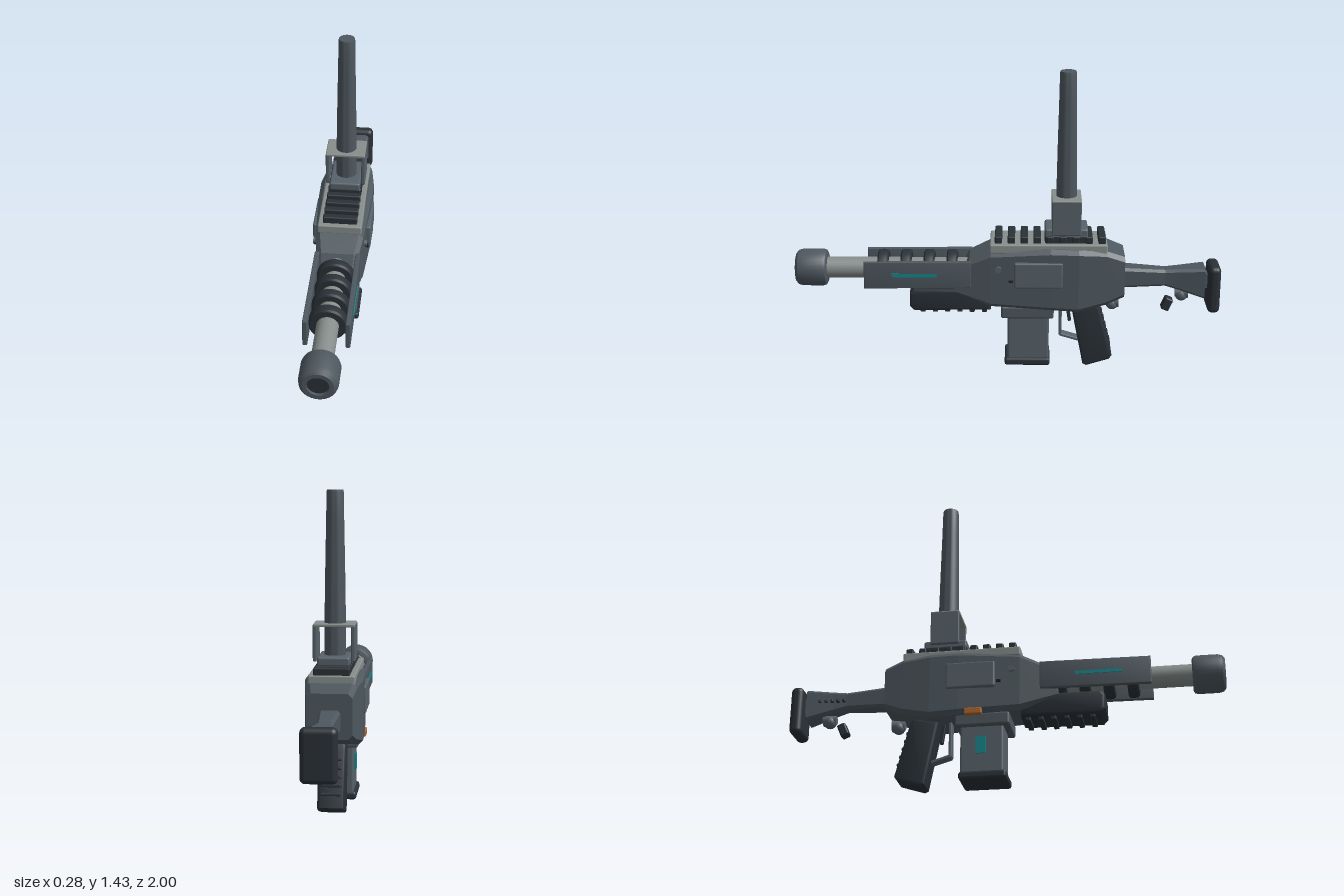
import * as THREE from 'three';
import { RoundedBoxGeometry } from 'three/addons/geometries/RoundedBoxGeometry.js';
import { toCreasedNormals } from 'three/addons/utils/BufferGeometryUtils.js';

const mat = (name, color) => {
  const m = new THREE.MeshStandardMaterial({ color });
  m.name = name;
  return m;
};

// Solid lofted along z from chamfered rectangles: [z, halfWidth, yBottom, yTop], front to back
function loft(sections, c) {
  const pos = [];
  const rings = sections.map(([z, w, b, t]) => [
    [-w + c, b, z], [w - c, b, z], [w, b + c, z], [w, t - c, z],
    [w - c, t, z], [-w + c, t, z], [-w, t - c, z], [-w, b + c, z],
  ]);
  const tri = (...p) => p.forEach((v) => pos.push(...v));
  for (let s = 0; s < rings.length - 1; s++) {
    const a = rings[s], b = rings[s + 1];
    for (let i = 0; i < 8; i++) {
      const j = (i + 1) % 8;
      tri(a[i], b[i], a[j]);
      tri(a[j], b[i], b[j]);
    }
  }
  const back = rings[rings.length - 1];
  for (let i = 1; i < 7; i++) {
    tri(rings[0][0], rings[0][i], rings[0][i + 1]);
    tri(back[0], back[i + 1], back[i]);
  }
  const g = new THREE.BufferGeometry();
  g.setAttribute('position', new THREE.Float32BufferAttribute(pos, 3));
  g.computeVertexNormals();
  return g;
}

// Plate with a (z, y) outline, extruded across x and centred on x = 0
function profile(points, width, bevel) {
  const shape = new THREE.Shape(points.map(([z, y]) => new THREE.Vector2(-z, y)));
  const g = new THREE.ExtrudeGeometry(shape, {
    depth: width - 2 * bevel, bevelThickness: bevel, bevelSize: bevel,
    bevelOffset: -bevel, bevelSegments: 3,
  });
  g.translate(0, 0, -width / 2 + bevel);
  g.rotateY(Math.PI / 2);
  return toCreasedNormals(g, 0.6);
}

// Lathe from [radius, along] points; turned to run along z when asked
function turned(points, alongZ) {
  const g = new THREE.LatheGeometry(points.map(([r, y]) => new THREE.Vector2(r, y)), 32);
  if (alongZ) g.rotateX(Math.PI / 2);
  return toCreasedNormals(g, 0.6);
}

export function createModel() {
  const root = new THREE.Group();
  const body = mat('body grey', 0x4e585f);
  const steel = mat('steel grey', 0x57626a);
  const light = mat('light metal', 0x868e8c);
  const dark = mat('dark polymer', 0x2a3138);
  const black = mat('black', 0x1b1f24);
  const teal = mat('teal', 0x16868c);
  const orange = mat('orange', 0xb0662c);

  const add = (name, g, m, x = 0, y = 0, z = 0) => {
    const mesh = new THREE.Mesh(g, m);
    mesh.name = name;
    mesh.position.set(x, y, z);
    root.add(mesh);
    return mesh;
  };
  const box = (name, m, w, h, d, x, y, z, r = 0) =>
    add(name, r ? new RoundedBoxGeometry(w, h, d, 3, r) : new THREE.BoxGeometry(w, h, d), m, x, y, z);

  // Receiver
  add('receiver', loft([
    [0.25, 0.085, 0.375, 0.425], [0.18, 0.096, 0.355, 0.55], [0.08, 0.112, 0.325, 0.595],
    [-0.2, 0.128, 0.312, 0.615], [-0.33, 0.13, 0.305, 0.612], [-0.46, 0.113, 0.335, 0.602],
    [-0.545, 0.1, 0.37, 0.57],
  ], 0.02), body);

  // Barrel, rings and muzzle
  add('barrel', new THREE.CylinderGeometry(0.05, 0.05, 0.72, 32).rotateX(Math.PI / 2), light, 0, 0.482, 0.52);
  add('muzzle', turned([
    [0, 0.85], [0.07, 0.85], [0.082, 0.856], [0.087, 0.87], [0.087, 0.965],
    [0.082, 0.985], [0.068, 0.997], [0.049, 0.997], [0.049, 0.95], [0, 0.95],
  ], true), body, 0, 0.482, 0);
  add('muzzleBore', new THREE.CircleGeometry(0.048, 32), dark, 0, 0.482, 0.985);
  for (let i = 0; i < 4; i++) {
    add('barrelRing', turned([
      [0.05, -0.025], [0.078, -0.025], [0.086, -0.018], [0.088, 0],
      [0.086, 0.018], [0.078, 0.025], [0.05, 0.025],
    ], true), dark, 0, 0.482, 0.585 - i * 0.108);
  }

  // Parts mirrored on both sides
  for (const s of [-1, 1]) {
    add('handguardPlate', profile([[0.17, 0.42], [0.67, 0.415], [0.67, 0.545], [0.17, 0.55]], 0.022, 0.005),
      body, s * 0.095, 0, 0);
    box('glowStrip', teal, 0.006, 0.016, 0.21, s * 0.107, 0.483, 0.435);
    box('sidePanel', steel, 0.03, 0.124, 0.225, s * 0.123, 0.493, -0.143, 0.008);
    add('receiverPin', new THREE.CylinderGeometry(0.015, 0.015, 0.02, 20).rotateZ(Math.PI / 2),
      steel, s * 0.117, 0.518, 0.043);
    box('latch', black, 0.02, 0.008, 0.02, s * 0.12, 0.46, -0.015);
    for (const y of [0.512, 0.526]) box('rivet', black, 0.008, 0.007, 0.007, s * 0.124, y, -0.302);
    box('sightHoodSide', steel, 0.018, 0.165, 0.135, s * 0.085, 0.759, -0.272, 0.005);
  }

  // Lower handguard with fins
  add('lowerHandguard', profile([
    [0.08, 0.3], [0.44, 0.295], [0.46, 0.315], [0.46, 0.385], [0.44, 0.402], [0.08, 0.402],
  ], 0.172, 0.014), dark);
  for (let i = 0; i < 6; i++) box('handguardFin', dark, 0.13, 0.03, 0.024, 0, 0.297, 0.4 - i * 0.058, 0.004);

  // Top rail
  box('topRail', light, 0.206, 0.044, 0.545, 0, 0.612, -0.19, 0.007);
  for (let i = 0; i < 9; i++) box('railTooth', dark, 0.16, 0.036, 0.034, 0, 0.648, 0.043 - i * 0.06, 0.006);

  // Upright sight
  box('sightMount', dark, 0.15, 0.04, 0.2, 0, 0.648, -0.272, 0.006);
  box('sightBase', steel, 0.146, 0.042, 0.2, 0, 0.68, -0.272, 0.01);
  box('sightHoodTop', light, 0.186, 0.014, 0.137, 0, 0.837, -0.272, 0.004);
  add('sightTube', turned([
    [0.049, 0.69], [0.048, 0.85], [0.044, 1.1], [0.04, 1.3], [0.038, 1.42], [0.036, 1.43], [0, 1.43],
  ]), body, 0, 0, -0.272);

  // Magazine
  box('magazineWell', body, 0.196, 0.06, 0.248, 0, 0.292, -0.093, 0.01);
  box('magazine', steel, 0.152, 0.24, 0.196, 0, 0.155, -0.097, 0.01);
  box('magazineFoot', dark, 0.176, 0.037, 0.215, 0, 0.034, -0.093, 0.012);
  box('magazineWindow', teal, 0.008, 0.08, 0.045, -0.078, 0.175, -0.1);
  box('safetyTab', orange, 0.026, 0.03, 0.08, -0.118, 0.32, -0.13, 0.005);

  // Grip with ribs down its back
  add('grip', profile([
    [-0.3, 0.305], [-0.42, 0.325], [-0.432, 0.3], [-0.497, 0.055], [-0.485, 0.037], [-0.375, 0.003], [-0.358, 0.012],
  ], 0.12, 0.012), dark);
  for (let i = 0; i < 5; i++) {
    const rib = box('gripRib', dark, 0.09, 0.014, 0.02, 0, 0.26 - i * 0.037, -0.44 - i * 0.0098, 0.004);
    rib.rotation.x = 0.26;
  }

  // Trigger and guard
  for (const [h, y, z, tilt] of [[0.17, 0.232, -0.25, 0], [0.1, 0.137, -0.295, 1.28]]) {
    const bar = box('triggerGuard', steel, 0.05, h, 0.014, 0, y, z, 0.004);
    bar.rotation.x = tilt;
  }
  const trigger = box('trigger', dark, 0.025, 0.09, 0.016, 0, 0.26, -0.288, 0.004);
  trigger.rotation.x = 0.15;

  // Stock and butt pad
  add('stock', loft([
    [-0.54, 0.048, 0.4, 0.498], [-0.74, 0.036, 0.405, 0.485], [-0.8, 0.041, 0.388, 0.49], [-0.925, 0.058, 0.35, 0.5],
  ], 0.012), body);
  box('stockLink', body, 0.05, 0.07, 0.04, 0, 0.43, -0.932);
  box('buttPad', dark, 0.154, 0.23, 0.058, 0, 0.398, -0.969, 0.024);

  // Knobs below the stock
  for (const [y, z] of [[0.305, -0.495], [0.352, -0.822]]) {
    add('knob', new THREE.SphereGeometry(0.03, 20, 12), steel, 0, y, z);
    add('knobCollar', new THREE.CylinderGeometry(0.02, 0.028, 0.06, 20).rotateX(Math.PI / 2), steel, 0, y + 0.01, z);
  }
  const lever = box('lever', dark, 0.05, 0.062, 0.04, 0, 0.307, -0.755, 0.008);
  lever.rotation.x = -0.4;
  for (let i = 0; i < 5; i++) box('stockRib', dark, 0.02, 0.014, 0.014, -0.045, 0.44, -0.75 - i * 0.028, 0.004);

  return root;
}
